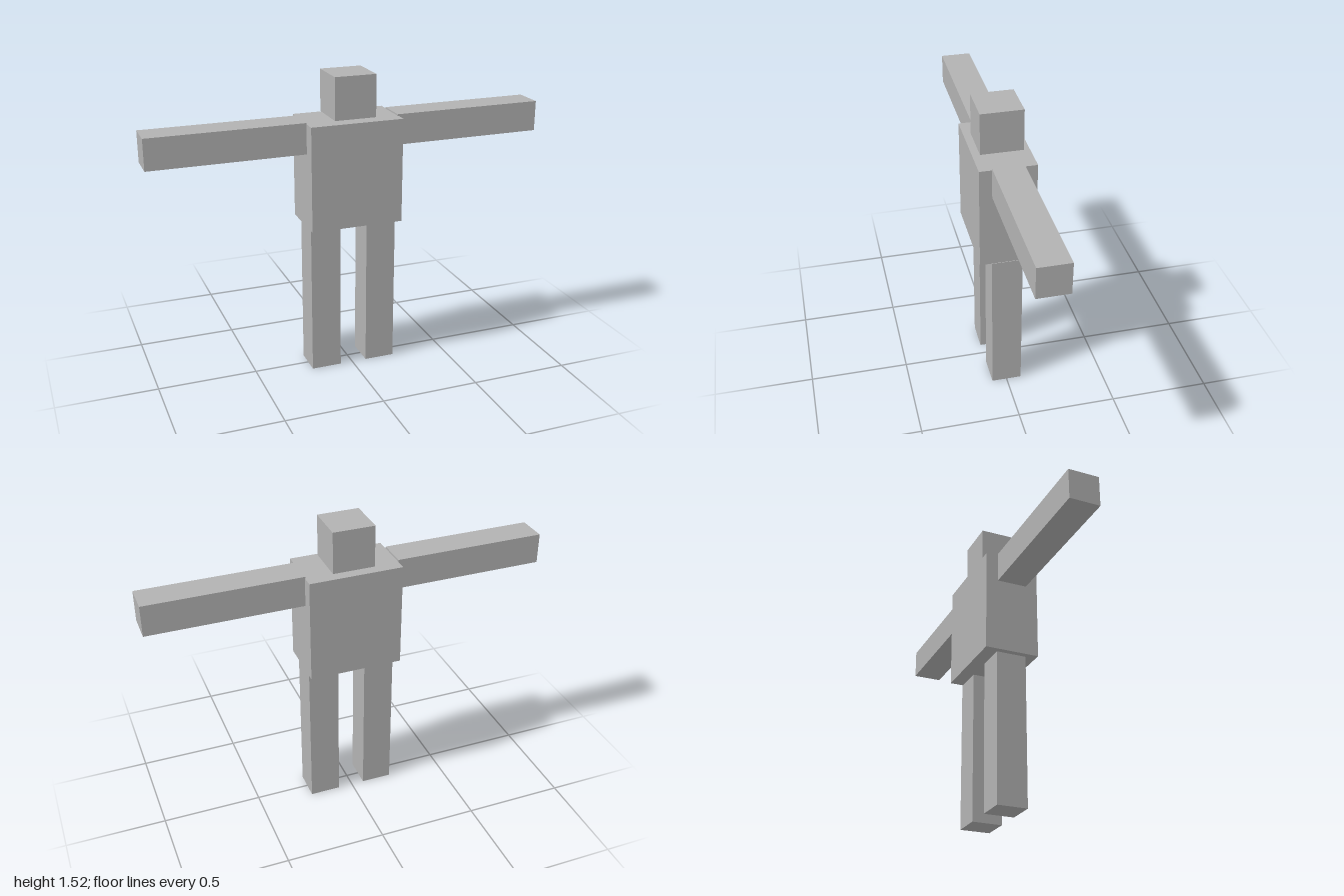
import * as THREE from 'three';

export function createModel() {
  const model = new THREE.Group();
  const grey = new THREE.MeshStandardMaterial({ color: 0xb2b2b2 });
  grey.name = 'grey';

  const addBox = (name, size, position) => {
    const mesh = new THREE.Mesh(new THREE.BoxGeometry(...size), grey);
    mesh.name = name;
    mesh.position.set(...position);
    model.add(mesh);
  };

  const limb = 0.153; // square section of every arm and leg
  const length = 0.767;

  // Head floats just above the torso, both a touch to the left
  addBox('head', [0.209, 0.209, 0.209], [0.004, 1.414, 0]);
  addBox('torso', [0.467, 0.522, 0.276], [0.003, 1.037, 0]);

  // Arms stretched straight out
  addBox('leftArm', [length, limb, limb], [1 - length / 2, 1.229, 0]);
  addBox('rightArm', [length, limb, limb], [-1 + length / 2, 1.229, 0]);

  // Legs
  addBox('leftLeg', [limb, length, limb], [0.151, length / 2, 0]);
  addBox('rightLeg', [limb, length, limb], [-0.141, length / 2, 0]);

  return model;
}
